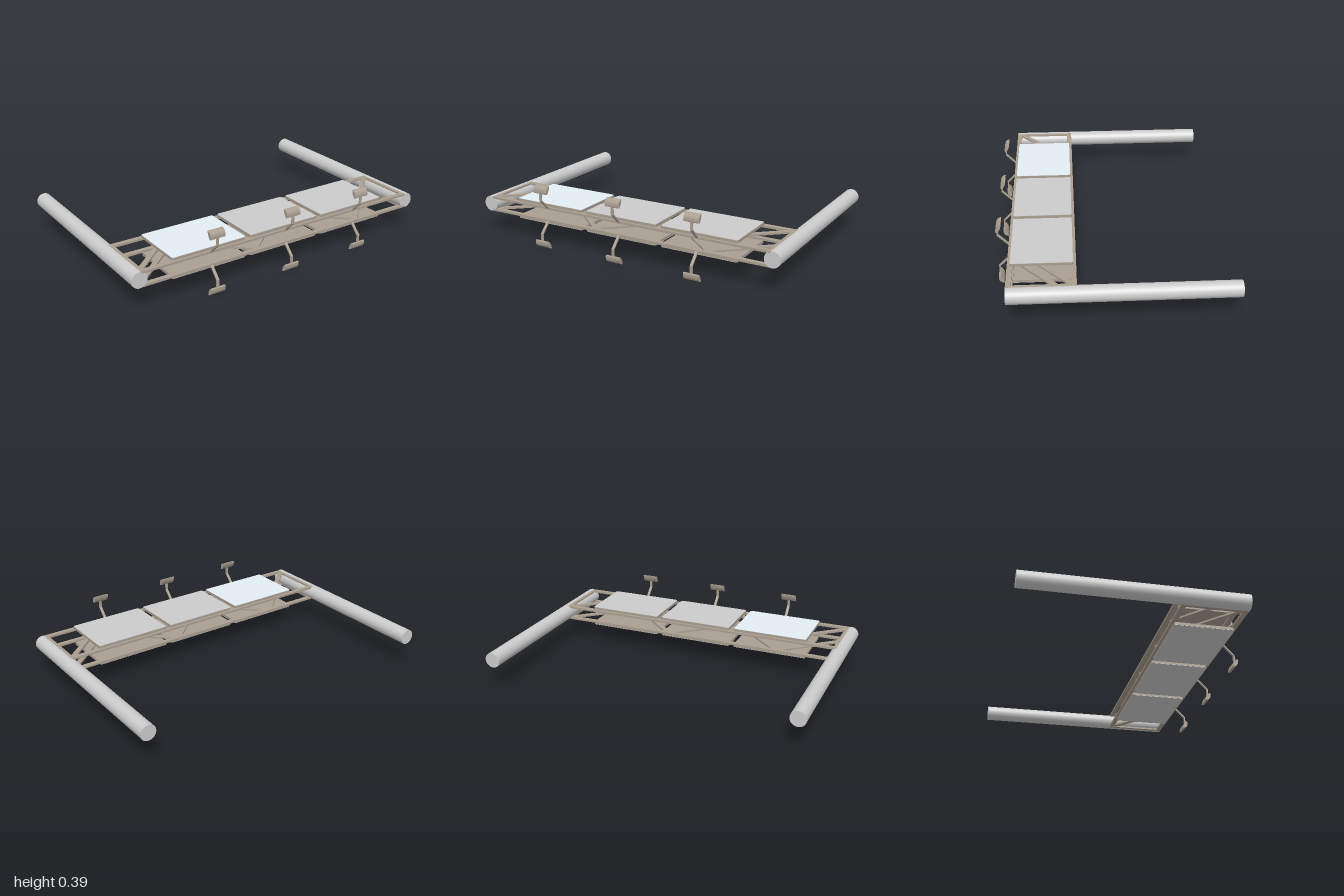
import * as THREE from 'three';

const MID = 0.195; // mid height: everything is mirrored above and below it

export function createModel() {
  const model = new THREE.Group();
  model.name = 'floatingTruss';
  const grey = new THREE.MeshStandardMaterial({ color: 0xcccccc });
  const metal = new THREE.MeshStandardMaterial({ color: 0xa99f92 });
  const pale = new THREE.MeshStandardMaterial({ color: 0xe4edf2 });

  const add = (parent, name, geometry, material) => {
    const mesh = new THREE.Mesh(geometry, material);
    mesh.name = name;
    parent.add(mesh);
    return mesh;
  };

  // Straight bar of rectangular section between two points
  const bar = (parent, name, a, b, width, height) => {
    const from = new THREE.Vector3(...a), to = new THREE.Vector3(...b);
    const mesh = new THREE.Mesh(new THREE.BoxGeometry(width, height, from.distanceTo(to)), metal);
    mesh.name = name;
    mesh.position.copy(from).lerp(to, 0.5);
    mesh.lookAt(to);
    parent.add(mesh);
  };

  // Flat slab with rounded corners, lying in the xz plane, centred on its origin
  const slab = (w, d, t, r) => {
    const x = w / 2, y = d / 2, s = new THREE.Shape();
    s.moveTo(-x + r, -y);
    s.lineTo(x - r, -y).quadraticCurveTo(x, -y, x, -y + r);
    s.lineTo(x, y - r).quadraticCurveTo(x, y, x - r, y);
    s.lineTo(-x + r, y).quadraticCurveTo(-x, y, -x, y - r);
    s.lineTo(-x, -y + r).quadraticCurveTo(-x, -y, -x + r, -y);
    const g = new THREE.ExtrudeGeometry(s, { depth: t, bevelEnabled: false, curveSegments: 4 });
    return g.translate(0, 0, -t / 2).rotateX(-Math.PI / 2);
  };

  // Long side tubes
  for (const side of [-1, 1]) {
    const g = new THREE.CylinderGeometry(0.0475, 0.0475, 1.272, 40).rotateX(Math.PI / 2);
    const tube = add(model, side > 0 ? 'leftTube' : 'rightTube', g, grey);
    tube.position.set(side * 0.9525, MID, -0.034);
  }

  // Upper (s = 1) and lower (s = -1) decks
  for (const s of [1, -1]) {
    const deck = new THREE.Group();
    deck.name = s > 0 ? 'upperDeck' : 'lowerDeck';
    model.add(deck);
    const y = MID + s * 0.0395;

    // Rectangular frame
    for (const z of [0.235, 0.587])
      bar(deck, 'longRail', [-0.95, y, z], [0.95, y, z], 0.03, 0.013);
    for (const x of [-0.936, 0.936])
      bar(deck, 'endRail', [x, y, 0.22], [x, y, 0.602], 0.03, 0.0131);

    // Zigzag bracing
    for (let i = 0; i < 5; i++) {
      const point = k => [-0.93 + k * 0.372, y, k % 2 ? 0.237 : 0.566];
      bar(deck, 'brace', point(i), point(i + 1), 0.03, 0.011);
    }

    for (const i of [-1, 0, 1]) {
      const x = i * 0.508;

      // Panel with a metal body and a plain outer face
      const body = add(deck, 'panelBody', slab(0.476, 0.35, 0.016, 0.012), metal);
      body.position.set(x, MID + s * 0.054, 0.411);
      const face = add(deck, 'panelFace', slab(0.474, 0.348, 0.002, 0.012),
        s > 0 && i < 0 ? pale : grey);
      face.position.set(x, MID + s * 0.063, 0.411);

      // Lamp on a bent arm
      const at = (z, h) => [x, MID + s * h, z];
      bar(deck, 'lampArm', at(0.594, 0.036), at(0.663, 0.106), 0.016, 0.008);
      bar(deck, 'lampPost', at(0.661, 0.102), at(0.661, 0.168), 0.016, 0.008);
      const profile = new THREE.Shape();
      profile.moveTo(-0.668, s * 0.15);
      profile.quadraticCurveTo(-0.672, s * 0.19, -0.637, s * 0.195);
      profile.quadraticCurveTo(-0.637, s * 0.172, -0.655, s * 0.15);
      profile.quadraticCurveTo(-0.661, s * 0.144, -0.668, s * 0.15);
      const head = new THREE.ExtrudeGeometry(profile, { depth: 0.094, bevelEnabled: false, curveSegments: 8 });
      head.translate(0, 0, -0.047).rotateY(Math.PI / 2);
      add(deck, 'lampHead', head, metal).position.set(x, MID, 0);
    }
  }
  return model;
}
